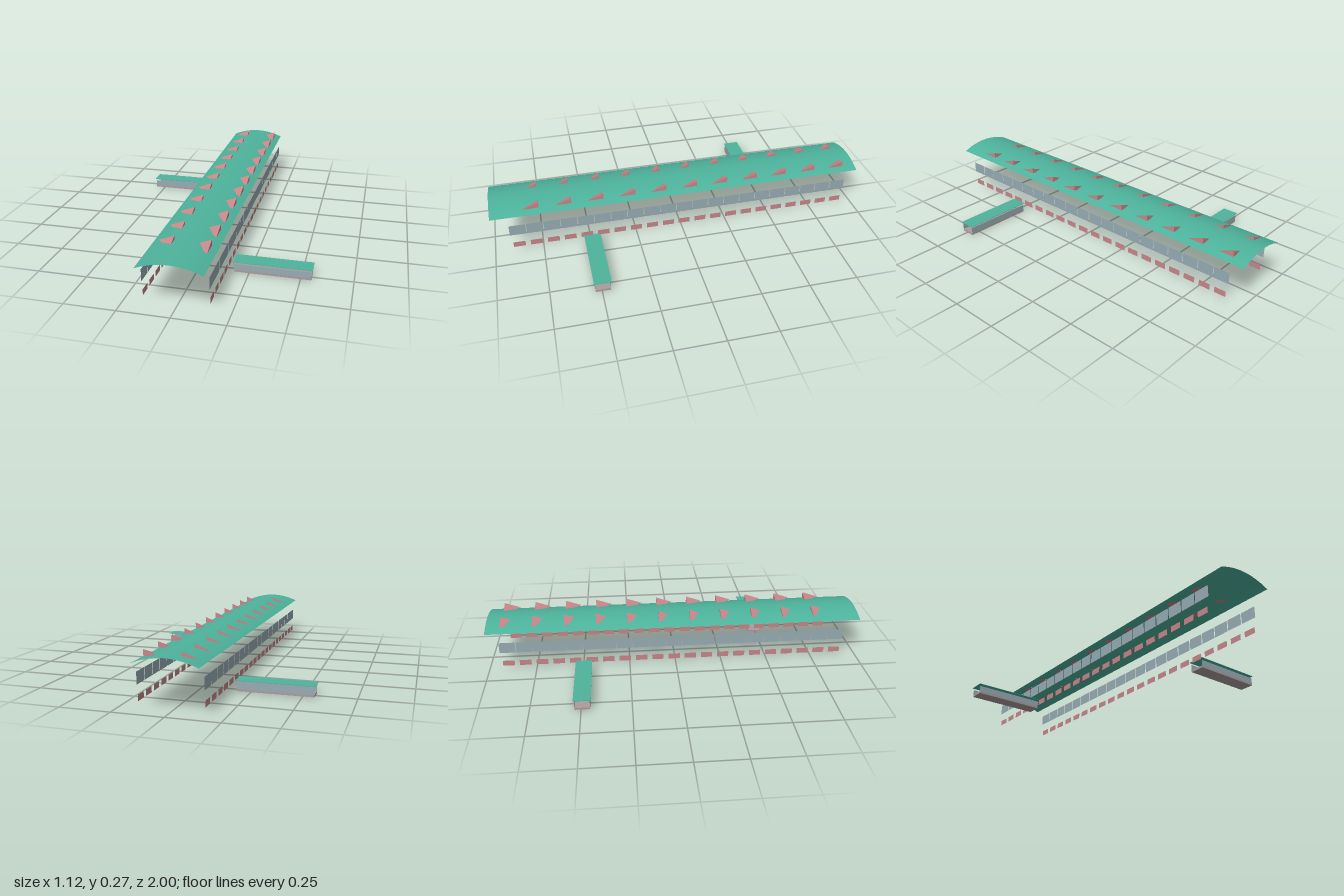
import * as THREE from 'three';

const mat = (name, color, side = THREE.FrontSide) => {
  const m = new THREE.MeshStandardMaterial({ color, side });
  m.name = name;
  return m;
};

export function createModel() {
  const green = mat('roof green', 0x4db39c, THREE.DoubleSide);
  const glass = mat('window grey blue', 0x97acb4, THREE.DoubleSide);
  const red = mat('dusty red', 0xc8868a, THREE.DoubleSide);
  const taupe = mat('floor taupe', 0xab9c9c);

  const model = new THREE.Group();
  model.name = 'longHall';
  const add = (parent, name, geometry, material, x, y, z) => {
    const mesh = new THREE.Mesh(geometry, material);
    mesh.name = name;
    mesh.position.set(x, y, z);
    parent.add(mesh);
    return mesh;
  };
  const centre = -0.0015;

  // Arched roof: a flat sheet bent into a shallow vault
  const halfWidth = 0.154;
  const roof = new THREE.PlaneGeometry(2 * halfWidth, 2, 24, 1).rotateX(-Math.PI / 2);
  const p = roof.attributes.position;
  for (let i = 0; i < p.count; i++) {
    p.setY(i, 0.255 - 0.033 * (p.getX(i) / halfWidth) ** 2);
  }
  roof.computeVertexNormals();
  add(model, 'archedRoof', roof, green, centre, 0, 0);

  // Skylights: two rows of small wedges, partly sunk into the roof
  const w = 0.074, h = 0.029, d = 0.085;
  const B = [0, 0, 0], T = [-w, 0, 0], P = [0, h, 0], F = [0, 0, d];
  const wedge = new THREE.BufferGeometry();
  wedge.setAttribute('position', new THREE.Float32BufferAttribute(
    [T, F, P, B, P, F, B, T, P, B, F, T].flat(), 3));
  wedge.computeVertexNormals();
  const skylights = new THREE.Group();
  skylights.name = 'skylights';
  model.add(skylights);
  for (let i = 0; i < 11; i++) {
    for (const x of [-0.051, 0.123]) {
      add(skylights, 'skylight', wedge, red, x, 0.241, -0.925 + i * 0.1675);
    }
  }

  // Side walls: a row of windows above a row of low panels
  const pane = new THREE.PlaneGeometry(0.083, 0.059).rotateY(Math.PI / 2);
  const panel = new THREE.PlaneGeometry(0.062, 0.03).rotateY(Math.PI / 2);
  for (const side of [-1, 1]) {
    const wall = new THREE.Group();
    wall.name = side > 0 ? 'leftWall' : 'rightWall';
    model.add(wall);
    for (let i = 0; i < 21; i++) {
      const z = 0.871 - i * 0.0881;
      add(wall, 'window', pane, glass, centre + side * 0.1555, 0.141, z);
      add(wall, 'lowerPanel', panel, red, centre + side * 0.1555, 0.049, z);
    }
  }

  // Side wings: floor, two glazed sides, open ends and a floating flat roof
  const wingRoof = new THREE.BoxGeometry(0.386, 0.002, 0.087);
  const wingFloor = new THREE.BoxGeometry(0.375, 0.01, 0.076);
  const wingGlass = new THREE.PlaneGeometry(0.375, 0.032);
  for (const side of [-1, 1]) {
    const wing = new THREE.Group();
    wing.name = side > 0 ? 'leftWing' : 'rightWing';
    wing.position.set(centre + side * 0.365, 0, side * 0.494);
    model.add(wing);
    add(wing, 'wingRoof', wingRoof, green, 0, 0.053, 0);
    add(wing, 'wingFloor', wingFloor, taupe, 0, 0.005, 0);
    for (const s of [-1, 1]) {
      add(wing, 'wingWindow', wingGlass, glass, 0, 0.026, s * 0.038);
    }
  }

  return model;
}
